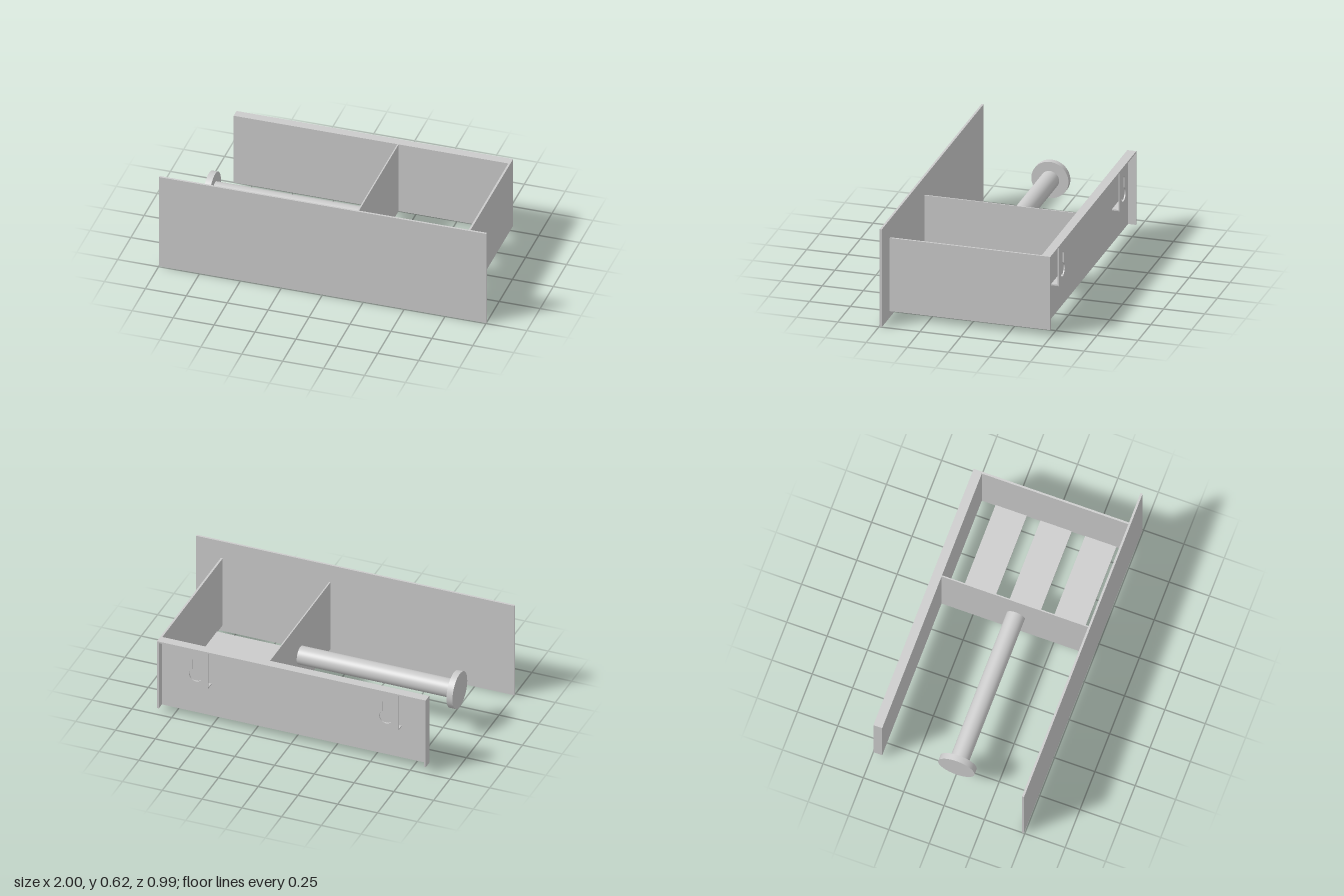
import * as THREE from 'three';

const BOTTOM = 0.04, TOP = 0.5, BACK = -0.495, WEB = -0.44, FRONT = 0.482;

export function createModel() {
  const model = new THREE.Group();
  model.name = 'wallShelfWithRollHolder';
  const material = new THREE.MeshStandardMaterial({ color: 0xcccccc });

  const add = (name, geometry) => {
    const mesh = new THREE.Mesh(geometry, material);
    mesh.name = name;
    model.add(mesh);
    return mesh;
  };
  // Box given by its limits on each axis
  const slab = (name, x0, x1, y0, y1, z0, z1) =>
    add(name, new THREE.BoxGeometry(x1 - x0, y1 - y0, z1 - z0))
      .position.set((x0 + x1) / 2, (y0 + y1) / 2, (z0 + z1) / 2);
  // Cylinder lying along x
  const rod = (name, radius, x0, x1, y, z) => {
    const mesh = add(name, new THREE.CylinderGeometry(radius, radius, x1 - x0, 48));
    mesh.rotation.z = Math.PI / 2;
    mesh.position.set((x0 + x1) / 2, y, z);
  };

  // Front panel and the box walls behind it
  slab('frontPanel', -1, 1, 0, 0.615, FRONT, 0.495);
  slab('sidePanel', 0.833, 0.845, BOTTOM, TOP, BACK, FRONT);
  slab('divider', 0.155, 0.163, BOTTOM, TOP, WEB, FRONT);

  // Back channel, open to the rear and below
  slab('backWeb', -0.845, 0.833, BOTTOM, TOP, WEB - 0.008, WEB);
  slab('backTopFlange', -0.845, 0.833, TOP - 0.01, TOP, BACK, WEB - 0.008);
  slab('backEndFlange', -0.845, -0.835, BOTTOM, TOP - 0.01, BACK, WEB - 0.008);

  // Floor slats
  for (const z of [-0.258, 0.02, 0.297])
    slab('floorSlat', 0.163, 0.833, BOTTOM, BOTTOM + 0.008, z - 0.097, z + 0.097);

  // Roll holder
  rod('rollRod', 0.056, -0.81, 0.155, 0.27, 0.02);
  rod('rollStop', 0.113, -0.848, -0.81, 0.27, 0.02);

  // Hanging brackets: keyhole plate with a lip that returns to the web
  const plate = new THREE.Shape([
    [-0.078, 0.25], [0.078, 0.25], [0.078, TOP - 0.01], [-0.078, TOP - 0.01],
  ].map(([x, y]) => new THREE.Vector2(x, y)));
  const r = 0.042, slot = 0.021, centre = 0.325, a = Math.acos(slot / r);
  const keyhole = new THREE.Path();
  keyhole.absarc(0, centre, r, Math.PI - a, Math.PI * 2 + a, false);
  keyhole.absarc(0, 0.42, slot, 0, Math.PI, false);
  keyhole.closePath();
  plate.holes.push(keyhole);
  const plateGeometry = new THREE.ExtrudeGeometry(plate, {
    depth: 0.008, bevelEnabled: false, curveSegments: 24,
  });
  for (const x of [-0.595, 0.6]) {
    add('hangerPlate', plateGeometry).position.set(x, 0, BACK);
    slab('hangerLip', x - 0.078, x + 0.078, 0.25, 0.258, BACK + 0.008, WEB - 0.008);
  }
  return model;
}
